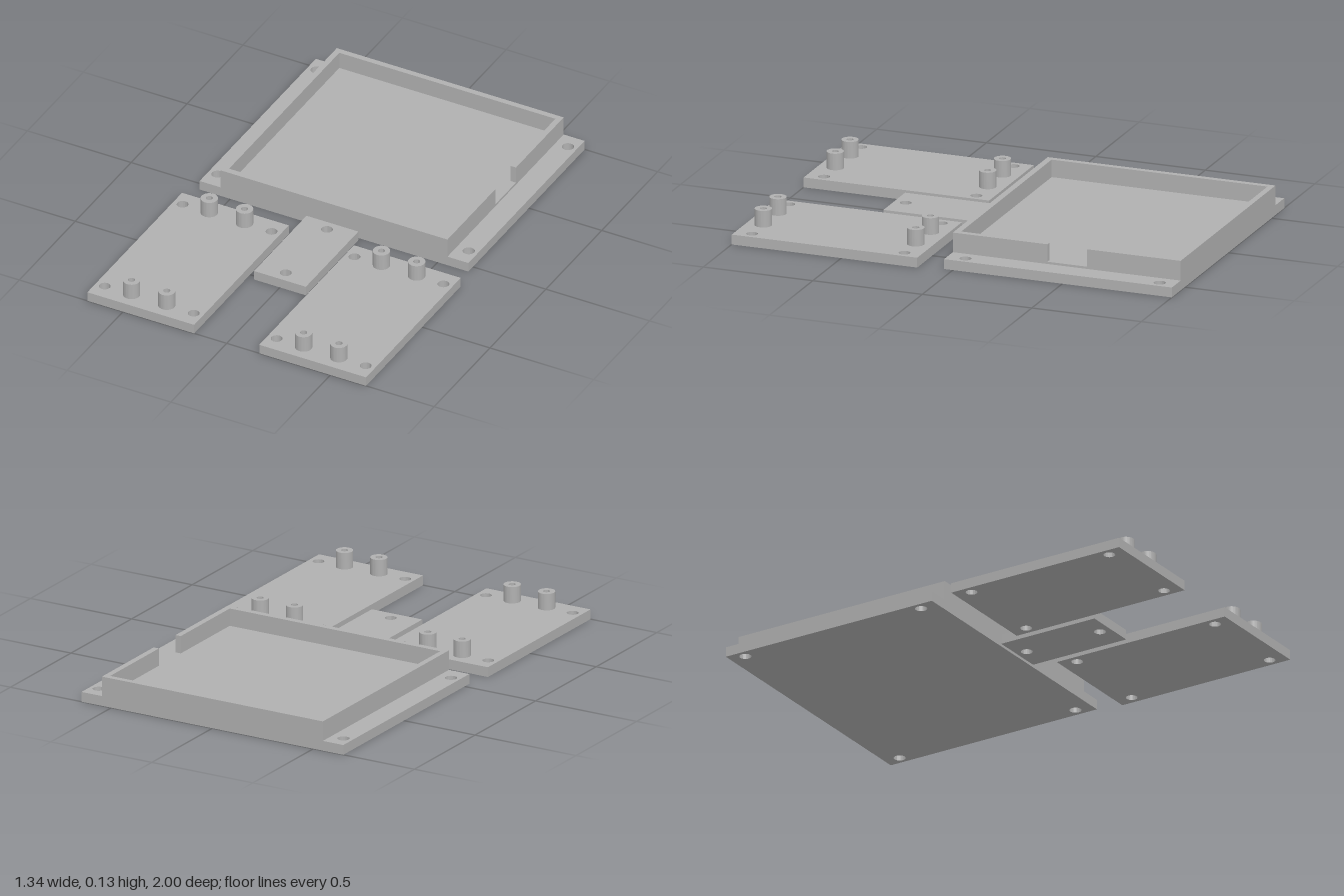
import * as THREE from 'three';
import { toCreasedNormals } from 'three/addons/utils/BufferGeometryUtils.js';

const PLATE = 0.044, FLOOR = 0.054, WALL_TOP = 0.132, BOSS_TOP = 0.118;

export function createModel() {
  const model = new THREE.Group();
  model.name = 'enclosureParts';
  const grey = new THREE.MeshStandardMaterial({ color: 0xb0b0b0 });
  grey.name = 'grey plastic';

  // Extrudes a plan outline of [x, z] points, with round holes [x, z, radius], from y0 to y1
  function slab(name, outline, holes, y0, y1) {
    const shape = new THREE.Shape(outline.map(([x, z]) => new THREE.Vector2(x, -z)));
    for (const [x, z, r] of holes) {
      shape.holes.push(new THREE.Path().absarc(x, -z, r, 0, Math.PI * 2, true));
    }
    let geo = new THREE.ExtrudeGeometry(shape, { depth: y1 - y0, bevelEnabled: false, curveSegments: 32 });
    geo.rotateX(-Math.PI / 2);
    geo.translate(0, y0, 0);
    geo = toCreasedNormals(geo, 0.6);
    const mesh = new THREE.Mesh(geo, grey);
    mesh.name = name;
    return mesh;
  }
  const rect = (x0, x1, z0, z1) => [[x0, z1], [x1, z1], [x1, z0], [x0, z0]];

  // Open tray: flanged base, raised floor and a wall with a cable notch on the +x side
  const tray = new THREE.Group();
  tray.name = 'tray';
  const trayHoles = [];
  for (const x of [-0.606, 0.606]) for (const z of [-0.928, -0.041]) trayHoles.push([x, z, 0.026]);
  tray.add(slab('trayBase', rect(-0.648, 0.648, -1, 0.04), trayHoles, 0, PLATE));
  tray.add(slab('trayFloor', rect(-0.547, 0.547, -1, 0.04), [], PLATE, FLOOR));
  const o = 0.547, i = 0.521, n0 = -0.573, n1 = -0.392;
  tray.add(slab('trayWall', [
    [o, n1], [o, 0.04], [-o, 0.04], [-o, -1], [o, -1], [o, n0],
    [i, n0], [i, -0.974], [-i, -0.974], [-i, 0.012], [i, 0.012], [i, n1],
  ], [], FLOOR, WALL_TOP));
  model.add(tray);

  // Mirrored mounting plates, each with corner holes and four hollow standoffs
  for (const s of [-1, 1]) {
    const mount = new THREE.Group();
    mount.name = s > 0 ? 'leftMountingPlate' : 'rightMountingPlate';
    const xs = [0.157 * s, 0.672 * s].sort((a, b) => a - b);
    const holes = [];
    for (const z of [0.228, 0.924]) {
      for (const x of [0.2, 0.629]) holes.push([x * s, z, 0.025]);
      for (const x of [0.33, 0.5]) {
        const ring = new THREE.Shape().absarc(x * s, -z, 0.037, 0, Math.PI * 2, false);
        const outline = ring.getPoints(20).slice(0, -1).map((p) => [p.x, -p.y]);
        mount.add(slab('standoff', outline, [[x * s, z, 0.015]], PLATE, BOSS_TOP));
      }
    }
    mount.add(slab('mountingPlate', rect(xs[0], xs[1], 0.153, 1), holes, 0, PLATE));
    model.add(mount);
  }

  // Small joining strip between the plates
  model.add(slab('joiningStrip', rect(-0.125, 0.125, 0.054, 0.524),
    [[0, 0.103, 0.025], [0, 0.472, 0.025]], 0, PLATE));

  return model;
}
